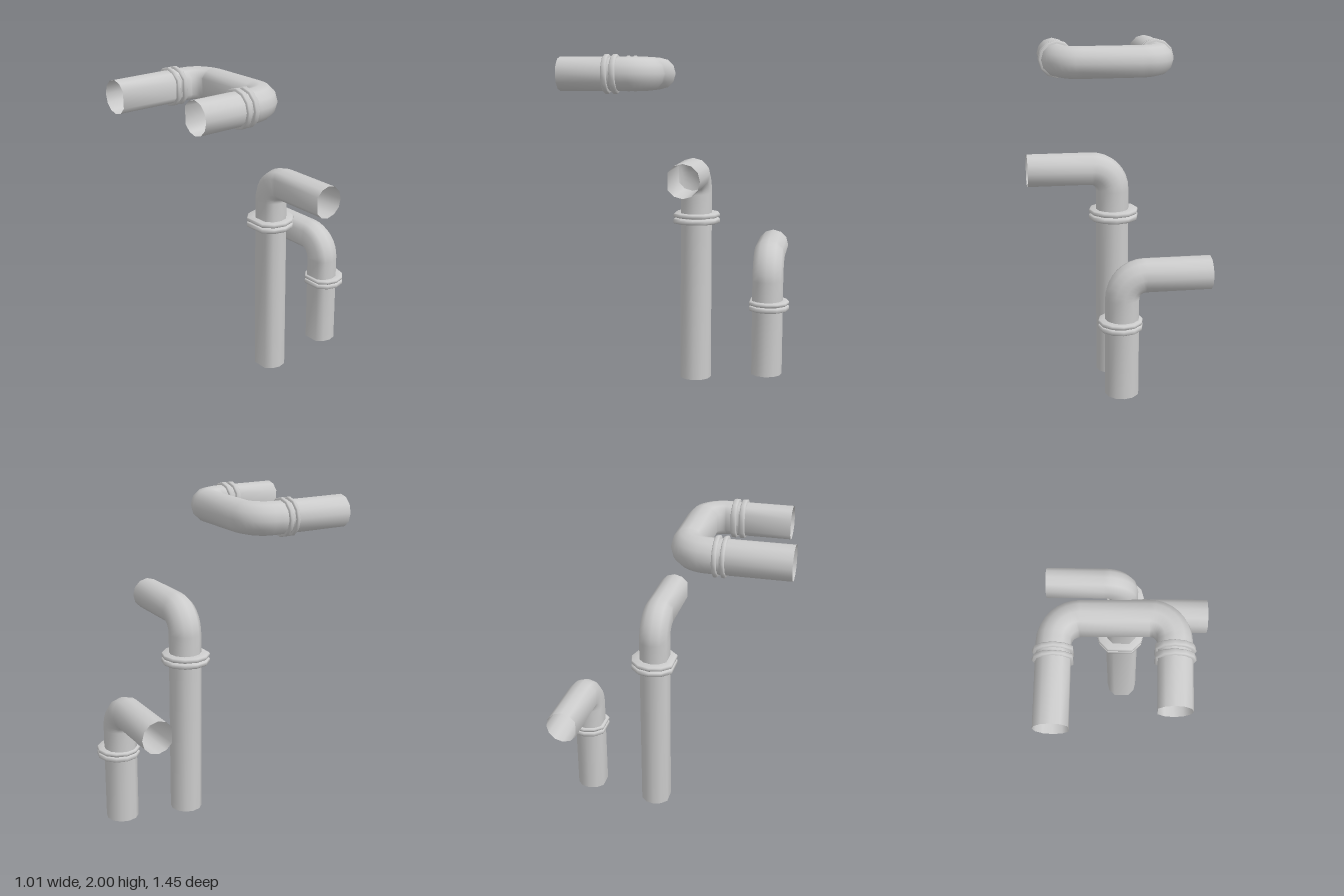
import * as THREE from 'three';
import { toCreasedNormals } from 'three/addons/utils/BufferGeometryUtils.js';

const material = new THREE.MeshStandardMaterial({ color: 0xcccccc, side: THREE.DoubleSide });
const V = (x, y, z) => new THREE.Vector3(x, y, z);
const SIDES = 12;

// Sweep a 12-sided ring with one corner left out (a flat side) along stations {p, t, r}.
// "up" is perpendicular to the plane the pipe bends in.
function sweep(stations, up, flat) {
  const angles = [];
  for (let i = 0; i < SIDES; i++) if (i !== flat) angles.push((i / SIDES) * Math.PI * 2);
  const n = angles.length, pos = [], index = [];
  stations.forEach(({ p, t, r }, i) => {
    const side = up.clone().cross(t).normalize();
    angles.forEach((a, j) => {
      const v = p.clone().addScaledVector(side, r * Math.cos(a)).addScaledVector(up, r * Math.sin(a));
      pos.push(v.x, v.y, v.z);
      if (i === 0) return;
      const k = (j + 1) % n, lo = (i - 1) * n, hi = i * n;
      index.push(lo + j, lo + k, hi + k, lo + j, hi + k, hi + j);
    });
  });
  const g = new THREE.BufferGeometry();
  g.setAttribute('position', new THREE.Float32BufferAttribute(pos, 3));
  g.setIndex(index);
  g.computeVertexNormals();
  return g;
}

// Open pipe through corner points, each inner corner rounded by "bend"
function pipeGeometry(points, r, bend, up, flat) {
  const dir = (i) => points[i + 1].clone().sub(points[i]).normalize();
  const last = points.length - 1;
  const stations = [{ p: points[0], t: dir(0), r }];
  for (let c = 1; c < last; c++) {
    const t0 = dir(c - 1), t1 = dir(c);
    for (let s = 0; s <= 8; s++) {
      const a = (s / 8) * Math.PI / 2, sn = Math.sin(a), cs = Math.cos(a);
      stations.push({
        p: points[c].clone().addScaledVector(t0, -bend * (1 - sn)).addScaledVector(t1, bend * (1 - cs)),
        t: t0.clone().multiplyScalar(cs).addScaledVector(t1, sn).normalize(), r,
      });
    }
  }
  stations.push({ p: points[last], t: dir(last - 1), r });
  return sweep(stations, up, flat);
}

// Flange ring with softened rim, from distance 0 to "thick" along t
function flangeGeometry(start, t, thick, inner, outer, up, flat) {
  const c = 0.005;
  const profile = [[0, inner], [0, outer - c], [c, outer], [thick - c, outer], [thick, outer - c], [thick, inner]];
  const stations = profile.map(([d, r]) => ({ p: start.clone().addScaledVector(t, d), t, r }));
  return toCreasedNormals(sweep(stations, up, flat), 1.1);
}

export function createModel() {
  const model = new THREE.Group();
  const add = (parent, name, geometry) => {
    const m = new THREE.Mesh(geometry, material);
    m.name = name;
    parent.add(m);
  };
  const group = (name) => {
    const g = new THREE.Group();
    g.name = name;
    model.add(g);
    return g;
  };
  const R = 0.099, BEND = 0.13, Y = V(0, 1, 0), Z = V(0, 0, 1);

  // Two standing pipes, each with an elbow and a flanged joint
  const standing = [
    { name: 'tallPipe', x: -0.004, z: -0.147, base: 0, joint: 1.01, top: 1.29, end: 0.505,
      fx: -0.011, fr: 0.148, fz: -0.147, flanges: [[0.98, 0.03], [1.018, 0.024]] },
    { name: 'shortPipe', x: 0.006, z: -0.591, base: 0.047, joint: 0.487, top: 0.765, end: -0.505,
      fx: 0.017, fr: 0.129, fz: -0.6, flanges: [[0.456, 0.028], [0.49, 0.022]] },
  ];
  for (const s of standing) {
    const g = group(s.name);
    add(g, 'leg', pipeGeometry([V(s.x, s.base, s.z), V(s.x, s.joint, s.z)], R, 0, Z, 3));
    add(g, 'elbow', pipeGeometry(
      [V(s.x, s.joint, s.z), V(s.x, s.top, s.z), V(s.end, s.top, s.z)], R, BEND, Z, 3));
    for (const [y, h] of s.flanges) {
      add(g, 'flange', flangeGeometry(V(s.fx, y, s.fz), Y, h, 0.08, s.fr, Z, 3));
    }
  }

  // Raised U-shaped pipe lying flat, with two legs of different length
  const u = group('uPipe');
  const h = 1.885;
  const legs = [
    { x: -0.348, bar: 0.12, joint: 0.326, end: 0.72, flanges: [[0.289, 0.026], [0.335, 0.024]] },
    { x: 0.276, bar: 0.11, joint: 0.312, end: 0.622, flanges: [[0.27, 0.033], [0.32, 0.032]] },
  ];
  const [a, b] = legs;
  add(u, 'uBend', pipeGeometry(
    [V(a.x, h, a.joint), V(a.x, h, a.bar), V(b.x, h, b.bar), V(b.x, h, b.joint)], R, BEND, Y, 6));
  legs.forEach((l, i) => {
    const flat = i === 0 ? 0 : 6; // flat side faces the other leg
    add(u, 'leg', pipeGeometry([V(l.x, h, l.joint), V(l.x, h, l.end)], R, 0, Y, flat));
    for (const [z, d] of l.flanges) {
      add(u, 'flange', flangeGeometry(V(l.x, h, z), Z, d, 0.08, 0.115, Y, flat));
    }
  });
  return model;
}
